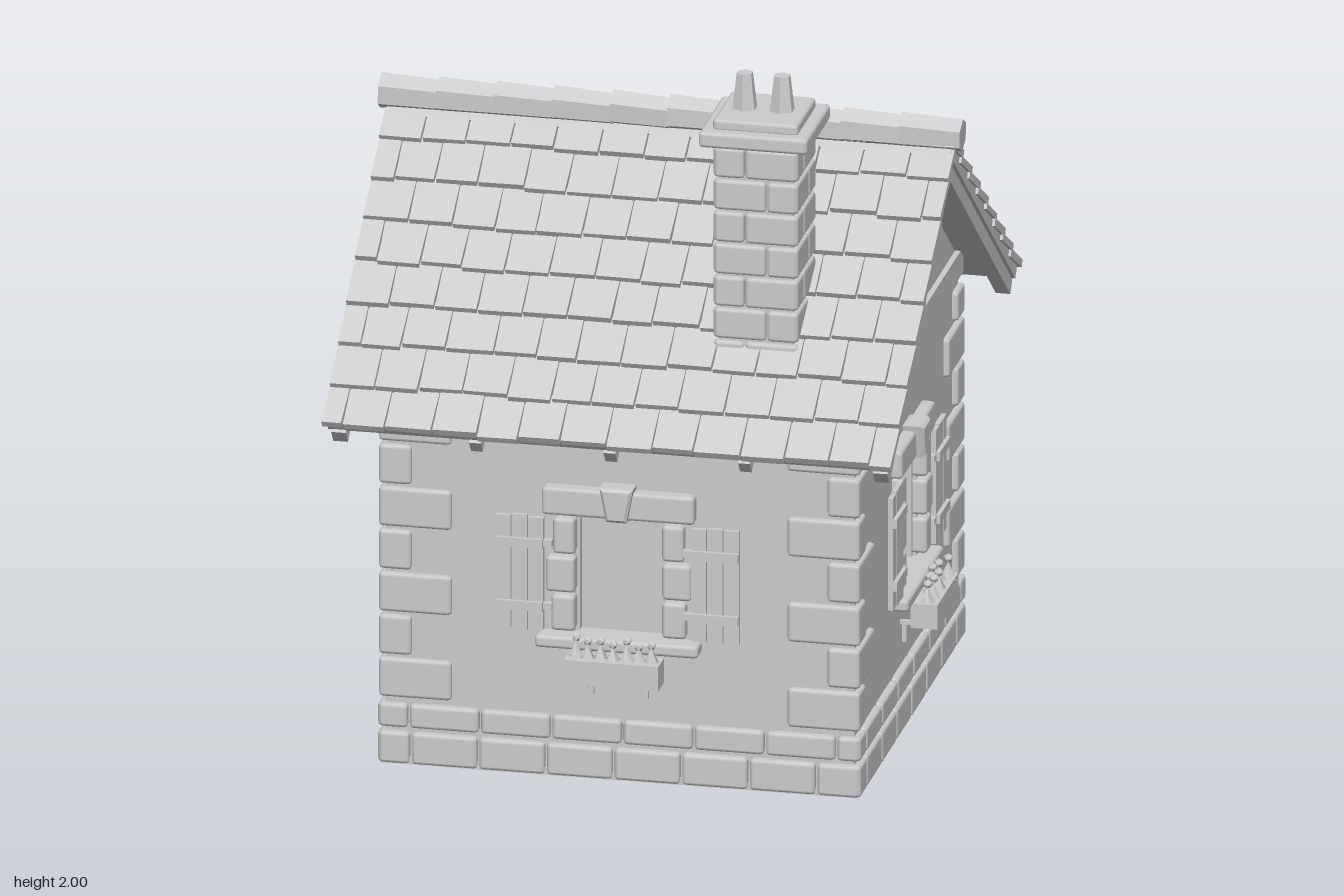
import * as THREE from 'three';
import { RoundedBoxGeometry } from 'three/addons/geometries/RoundedBoxGeometry.js';

const clay = new THREE.MeshStandardMaterial({ color: 0xcccccc });
clay.name = 'pale grey';
const W = 0.645;      // half width of the walls
const T = 0.07;       // wall thickness
const SLOPE = 0.669;  // roof pitch
const ROOF_TOP = 1.7;

let seed = 7;
const rand = () => (seed = (seed * 16807) % 2147483647) / 2147483647;
const jitter = (a) => (rand() - 0.5) * 2 * a;

function add(parent, name, geo, x = 0, y = 0, z = 0) {
  const m = new THREE.Mesh(geo, clay);
  m.name = name;
  m.position.set(x, y, z);
  parent.add(m);
  return m;
}
const group = (parent, name) => {
  const g = new THREE.Group();
  g.name = name;
  parent.add(g);
  return g;
};
const box = (p, name, w, h, d, x, y, z) => add(p, name, new THREE.BoxGeometry(w, h, d), x, y, z);
const stone = (p, name, w, h, d, x, y, z) =>
  add(p, name, new RoundedBoxGeometry(w, h, d, 1, Math.min(0.011, w / 3, h / 3, d / 3)), x, y, z);
const polygon = (pts) => new THREE.Shape(pts.map(([x, y]) => new THREE.Vector2(x, y)));
const extrude = (shape, depth, bevel = 0) => new THREE.ExtrudeGeometry(shape, {
  depth, curveSegments: 16, bevelEnabled: bevel > 0, bevelSize: bevel, bevelThickness: bevel,
  bevelOffset: -bevel, bevelSegments: 1,
});

// Ring of wedge stones between two angles
function stoneArc(p, name, n, r0, r1, a0, a1, depth, y, z) {
  const step = (a1 - a0) / n, gap = 0.004;
  for (let i = 0; i < n; i++) {
    const a = a0 + i * step + gap / r0, b = a0 + (i + 1) * step - gap / r0, pts = [];
    for (let k = 0; k <= 2; k++) { const t = a + (b - a) * k / 2; pts.push([r1 * Math.cos(t), r1 * Math.sin(t)]); }
    for (let k = 2; k >= 0; k--) { const t = a + (b - a) * k / 2; pts.push([r0 * Math.cos(t), r0 * Math.sin(t)]); }
    add(p, name, extrude(polygon(pts), depth, 0.008), 0, y, z);
  }
}

function flowerBox(p) {
  const g = group(p, 'flowerBox');
  box(g, 'planter', 0.26, 0.07, 0.075, 0, 0.365, W + 0.077);
  for (const s of [-1, 1]) {
    box(g, 'planterBracket', 0.012, 0.06, 0.012, s * 0.075, 0.3, W + 0.012);
    box(g, 'planterBracket', 0.012, 0.012, 0.1, s * 0.075, 0.325, W + 0.05);
  }
  for (let i = 0; i < 7; i++) {
    const x = -0.105 + i * 0.035, z = W + 0.077 + jitter(0.018);
    add(g, 'leaves', new THREE.ConeGeometry(0.026, 0.05, 5), x, 0.415, z).rotation.y = i;
    add(g, 'flower', new THREE.IcosahedronGeometry(0.013, 0), x, 0.442 + rand() * 0.014, z);
  }
}

function windowSet(p) {
  const g = group(p, 'window');
  box(g, 'pane', 0.26, 0.36, 0.01, 0, 0.61, W - 0.04);
  for (const s of [-1, 1]) {
    box(g, 'frameSide', 0.012, 0.34, 0.03, s * 0.119, 0.61, W - 0.025);
    // jamb stones
    [[0.5, 0.065], [0.61, 0.08], [0.72, 0.06]].forEach(([y, w]) =>
      stone(g, 'jambStone', w, 0.102, 0.06, s * (0.12 + w / 2), y, W));
    // shutter
    const sh = group(g, 'shutter');
    for (let i = 0; i < 3; i++)
      box(sh, 'shutterPlank', 0.041, 0.325 + jitter(0.006), 0.014, s * (0.224 + i * 0.045), 0.612, W + 0.03);
    for (const y of [0.52, 0.7]) {
      box(sh, 'shutterBatten', 0.13, 0.026, 0.012, s * 0.269, y, W + 0.042);
      box(sh, 'shutterHinge', 0.04, 0.018, 0.02, s * 0.2, y, W + 0.028);
    }
  }
  box(g, 'frameTop', 0.25, 0.012, 0.03, 0, 0.772, W - 0.025);
  stone(g, 'lintel', 0.42, 0.08, 0.07, 0, 0.82, W);
  add(g, 'keystone', extrude(polygon([[-0.028, 0.78], [0.028, 0.78], [0.046, 0.875], [-0.046, 0.875]]), 0.05, 0.008), 0, 0, W);
  stone(g, 'sill', 0.45, 0.036, 0.1, 0, 0.424, W + 0.005);
}

function doorway(p) {
  const g = group(p, 'doorway');
  stoneArc(g, 'archStone', 9, 0.22, 0.325, 0, Math.PI, 0.08, 0.63, W - 0.045);
  for (const s of [-1, 1]) {
    for (let i = 0; i < 5; i++) {
      const w = i % 2 ? 0.075 : 0.11;
      stone(g, 'doorJambStone', w, 0.112, 0.09, s * (0.22 + w / 2), 0.095 + i * 0.118, W - 0.01);
    }
    // open leaf made of arched planks
    const leaf = group(g, 'doorLeaf');
    leaf.position.set(s * 0.22, 0, W + 0.02);
    leaf.rotation.y = -Math.PI / 2 + s * 0.1;
    const top = (d) => 0.62 + Math.sqrt(Math.max(0, 0.0441 - (0.21 - d) ** 2));
    for (let i = 0; i < 3; i++) {
      const a = i * 0.07 + 0.002, b = (i + 1) * 0.07 - 0.002, m = (a + b) / 2;
      add(leaf, 'doorPlank', extrude(polygon([[a, 0.08], [b, 0.08], [b, top(b)], [m, top(m)], [a, top(a)]]), 0.024), 0, 0, -0.012);
    }
    for (const y of [0.19, 0.57]) box(leaf, 'doorStrap', 0.17, 0.022, 0.032, 0.085, y, 0);
    add(leaf, 'doorKnob', new THREE.SphereGeometry(0.012, 8, 6), 0.185, 0.42, s * 0.024);
    add(leaf, 'doorKnob', new THREE.SphereGeometry(0.012, 8, 6), 0.185, 0.42, -s * 0.024);
  }
  box(g, 'doorstep', 0.66, 0.035, 0.25, 0, 0.0175, W + 0.085);

  // hanging sign
  const sign = group(g, 'hangingSign');
  sign.position.x = -0.39;
  box(sign, 'signPlate', 0.03, 0.08, 0.01, 0, 0.92, W + 0.005);
  box(sign, 'signBar', 0.012, 0.01, 0.215, 0, 0.935, W + 0.107);
  box(sign, 'signBrace', 0.01, 0.01, 0.08, 0, 0.905, W + 0.03).rotation.x = -0.8;
  for (const z of [0.08, 0.17]) box(sign, 'signLink', 0.006, 0.04, 0.006, 0, 0.915, W + z);
  box(sign, 'signBoard', 0.016, 0.12, 0.145, 0, 0.84, W + 0.125);

  // lantern
  const lamp = group(g, 'lantern');
  lamp.position.set(0.4, 0, W);
  box(lamp, 'lampPlate', 0.03, 0.08, 0.01, 0, 0.88, 0.005);
  box(lamp, 'lampArm', 0.01, 0.01, 0.09, 0, 0.9, 0.045);
  box(lamp, 'lampLink', 0.006, 0.03, 0.006, 0, 0.885, 0.08);
  add(lamp, 'lampRoof', new THREE.ConeGeometry(0.042, 0.03, 4), 0, 0.862, 0.08).rotation.y = Math.PI / 4;
  box(lamp, 'lampBody', 0.042, 0.055, 0.042, 0, 0.82, 0.08);
  box(lamp, 'lampBase', 0.054, 0.01, 0.054, 0, 0.79, 0.08);
}

function roofSide(p, turn) {
  const side = group(p, 'roofSide');
  side.rotation.y = turn;
  const g = group(side, 'roofSlope');
  g.position.y = ROOF_TOP;
  g.rotation.x = SLOPE;
  const L = 1.05, rows = 8, w = 1.57 / 13;
  box(g, 'roofDeck', 1.55, 0.035, L - 0.02, 0, -0.043, L / 2 - 0.01);
  // overlapping shingles in staggered rows
  for (let r = 0; r < rows; r++) {
    const d = (r + 1) * L / rows, odd = r % 2;
    let x0 = -0.785;
    for (let i = 0; i < 13 + odd; i++) {
      const x1 = i === 12 + odd ? 0.785 : -0.785 + (i + 1 - odd / 2) * w + jitter(0.008);
      const s = box(g, 'shingle', x1 - x0 - 0.005, 0.02 + jitter(0.003), 0.15, (x0 + x1) / 2, -0.02, d - 0.074 + jitter(0.006));
      s.rotation.set(-0.13, jitter(0.012), 0);
      x0 = x1;
    }
  }
  for (const x of [-0.745, 0.745]) box(g, 'bargeBoard', 0.04, 0.045, 1.04, x, -0.08, 0.52);
  for (const x of [-0.37, 0, 0.37]) box(g, 'rafterEnd', 0.032, 0.042, 0.3, x, -0.08, 0.89);
}

function chimney(p) {
  const g = group(p, 'chimney');
  g.position.set(0.35, 0, 0.432);
  box(g, 'chimneyCore', 0.205, 0.68, 0.205, 0, 1.5, 0);
  for (let r = 0; r < 7; r++) {
    const y = 1.225 + r * 0.092, split = r % 2 ? 0.03 : -0.03;
    for (let f = 0; f < 4; f++) {
      const q = group(g, 'brickCourse');
      q.rotation.y = f * Math.PI / 2;
      const a = split + 0.115, b = 0.115 - split;
      stone(q, 'brick', a - 0.003, 0.085, 0.03, -0.115 + a / 2, y, 0.102);
      stone(q, 'brick', b - 0.003, 0.085, 0.03, 0.115 - b / 2, y, 0.102);
    }
  }
  stone(g, 'chimneyCap', 0.3, 0.045, 0.3, 0, 1.85, 0);
  stone(g, 'chimneyCapTop', 0.235, 0.035, 0.235, 0, 1.883, 0);
  for (const x of [-0.053, 0.05])
    add(g, 'chimneyPot', new THREE.CylinderGeometry(0.023, 0.036, 0.11, 6).toNonIndexed(), x, 1.945, 0.005).geometry.computeVertexNormals();
}

export function createModel() {
  const model = new THREE.Group();
  model.name = 'cottage';
  const house = group(model, 'house');
  house.position.z = 0.015;

  // four sides: 0 front, 1 left gable, 2 back with door, 3 right gable
  for (let i = 0; i < 4; i++) {
    const g = group(house, ['frontSide', 'leftSide', 'backSide', 'rightSide'][i]);
    g.rotation.y = i * Math.PI / 2;
    const gable = i % 2 === 1;
    const shape = polygon(gable ? [[-W, 0.03], [W, 0.03], [W, 1.11], [0, 1.62], [-W, 1.11]]
      : [[-W, 0.03], [W, 0.03], [W, 1.1], [-W, 1.1]]);
    const hole = new THREE.Path();
    if (i === 2) {
      hole.moveTo(-0.22, 0.05);
      hole.lineTo(-0.22, 0.63);
      hole.absarc(0, 0.63, 0.22, Math.PI, 0, true);
      hole.lineTo(0.22, 0.05);
    } else {
      hole.moveTo(-0.125, 0.44);
      hole.lineTo(-0.125, 0.78);
      hole.lineTo(0.125, 0.78);
      hole.lineTo(0.125, 0.44);
    }
    hole.closePath();
    shape.holes.push(hole);
    add(g, 'wall', extrude(shape, T), 0, 0, W - T);

    if (i === 2) doorway(g); else windowSet(g);
    if (i < 2) flowerBox(g);
    if (gable) {
      box(g, 'tieBeam', 2 * W, 0.072, 0.03, 0, 1.105, W);
      stoneArc(g, 'roundWindowStone', 8, 0.077, 0.113, 0, Math.PI * 2, 0.03, 1.355, W - 0.012);
    }

    // foundation courses, left open at the door
    [[0.075, 0.09, 0.09], [0.167, 0.068, 0.092 + 0.09]].forEach(([y, h, first], c) => {
      let x0 = -0.664, x1 = x0 + (c ? 0.085 : first);
      while (x0 < 0.66) {
        const spans = i === 2 && x0 < 0.3 && x1 > -0.3
          ? [[x0, Math.min(x1, -0.3)], [Math.max(x0, 0.3), x1]] : [[x0, x1]];
        for (const [a, b] of spans)
          if (b - a > 0.03) stone(g, 'foundationStone', b - a - 0.006, h, 0.06, (a + b) / 2, y, W - 0.01);
        x0 = x1;
        x1 = Math.min(0.664, x0 + (c ? 0.196 : 0.186));
      }
    });
  }

  // corner stones, alternately long on each face
  for (const sx of [-1, 1]) for (const sz of [-1, 1]) for (let r = 0; r < 7; r++) {
    const w = r % 2 ? 0.09 : 0.2, d = r % 2 ? 0.2 : 0.09, h = r === 6 ? 0.085 : 0.112;
    stone(house, 'cornerStone', w, h, d, sx * (0.662 - w / 2), 0.218 + r * 0.122 + h / 2, sz * (0.662 - d / 2));
  }

  // floor
  box(house, 'floorBase', 2 * W + 0.02, 0.02, 2 * W + 0.02, 0, 0.038, 0);
  for (let i = 0; i < 10; i++) box(house, 'floorPlank', 1.18, 0.014, 0.119, 0, 0.054, -0.567 + i * 0.126);

  // roof
  roofSide(house, 0);
  roofSide(house, Math.PI);
  box(house, 'ridgeBeam', 1.5, 0.045, 0.042, 0, 1.605, 0);
  for (let i = 0; i < 10; i++) {
    const geo = new THREE.CylinderGeometry(0.046, 0.051, 0.168, 6).toNonIndexed();
    geo.computeVertexNormals();
    geo.rotateZ(Math.PI / 2);
    geo.rotateX(Math.PI / 2);
    const tile = add(house, 'ridgeTile', geo, -0.715 + i * 0.159, 1.704, 0);
    tile.rotation.set(jitter(0.03), 0, Math.PI + jitter(0.02) - 0.03);
  }
  chimney(house);
  return model;
}
